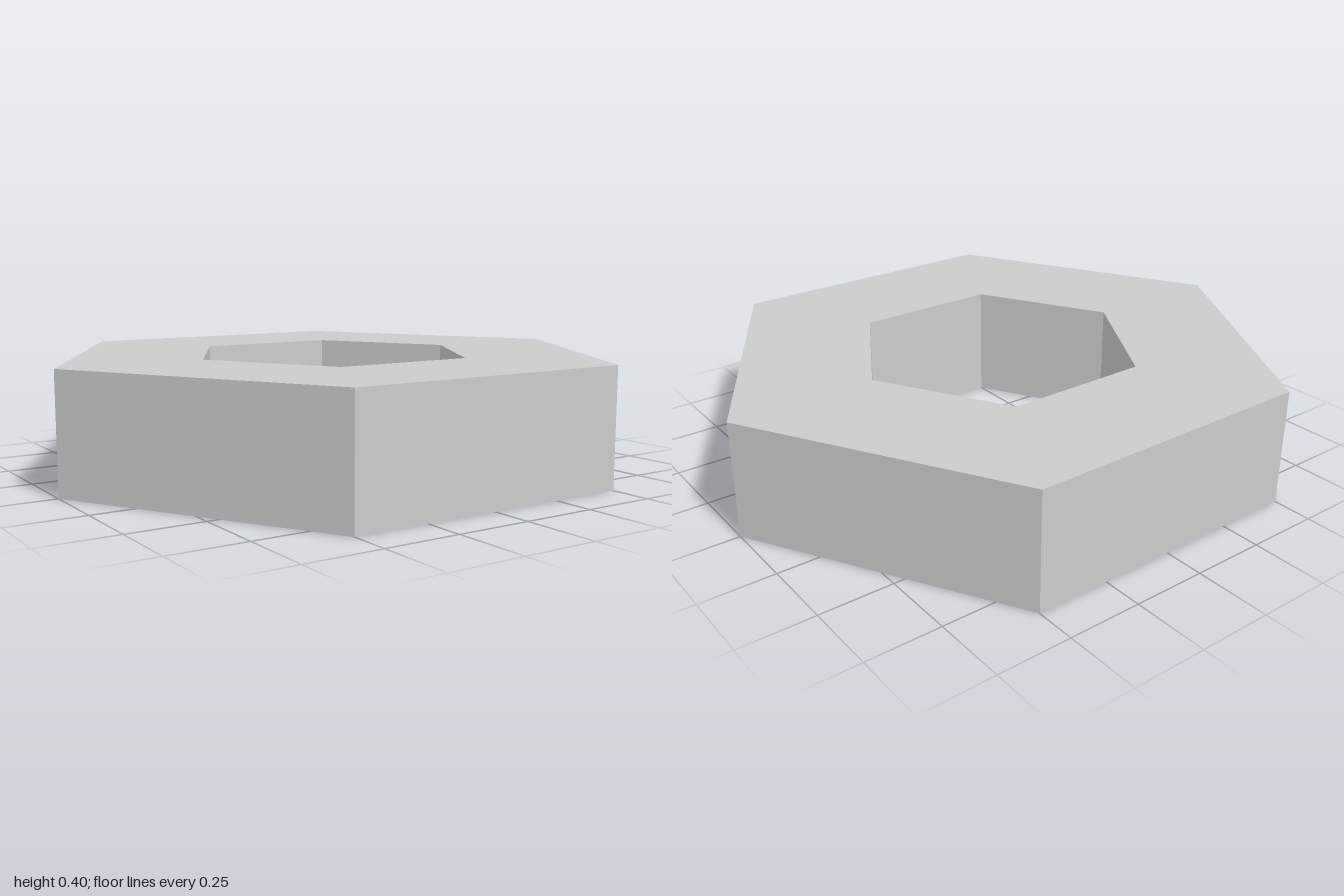
import * as THREE from 'three';

const HEIGHT = 0.4;

// Corners of a regular hexagon with points on the x axis
function hexagon(radius) {
  return Array.from({ length: 6 }, (_, i) => {
    const a = (i * Math.PI) / 3;
    return new THREE.Vector2(radius * Math.cos(a), radius * Math.sin(a));
  });
}

export function createModel() {
  const group = new THREE.Group();
  group.name = 'hexagonalNut';

  // Hexagonal ring: outer outline with a hexagonal through-hole
  const outline = new THREE.Shape(hexagon(1));
  outline.holes.push(new THREE.Path(hexagon(0.5)));
  const geometry = new THREE.ExtrudeGeometry(outline, { depth: HEIGHT, bevelEnabled: false });
  geometry.rotateX(-Math.PI / 2); // lay flat, extruded upwards from y = 0

  const ring = new THREE.Mesh(
    geometry,
    new THREE.MeshStandardMaterial({ color: 0xcccccc, flatShading: true })
  );
  ring.name = 'hexagonalRing';
  group.add(ring);
  return group;
}
